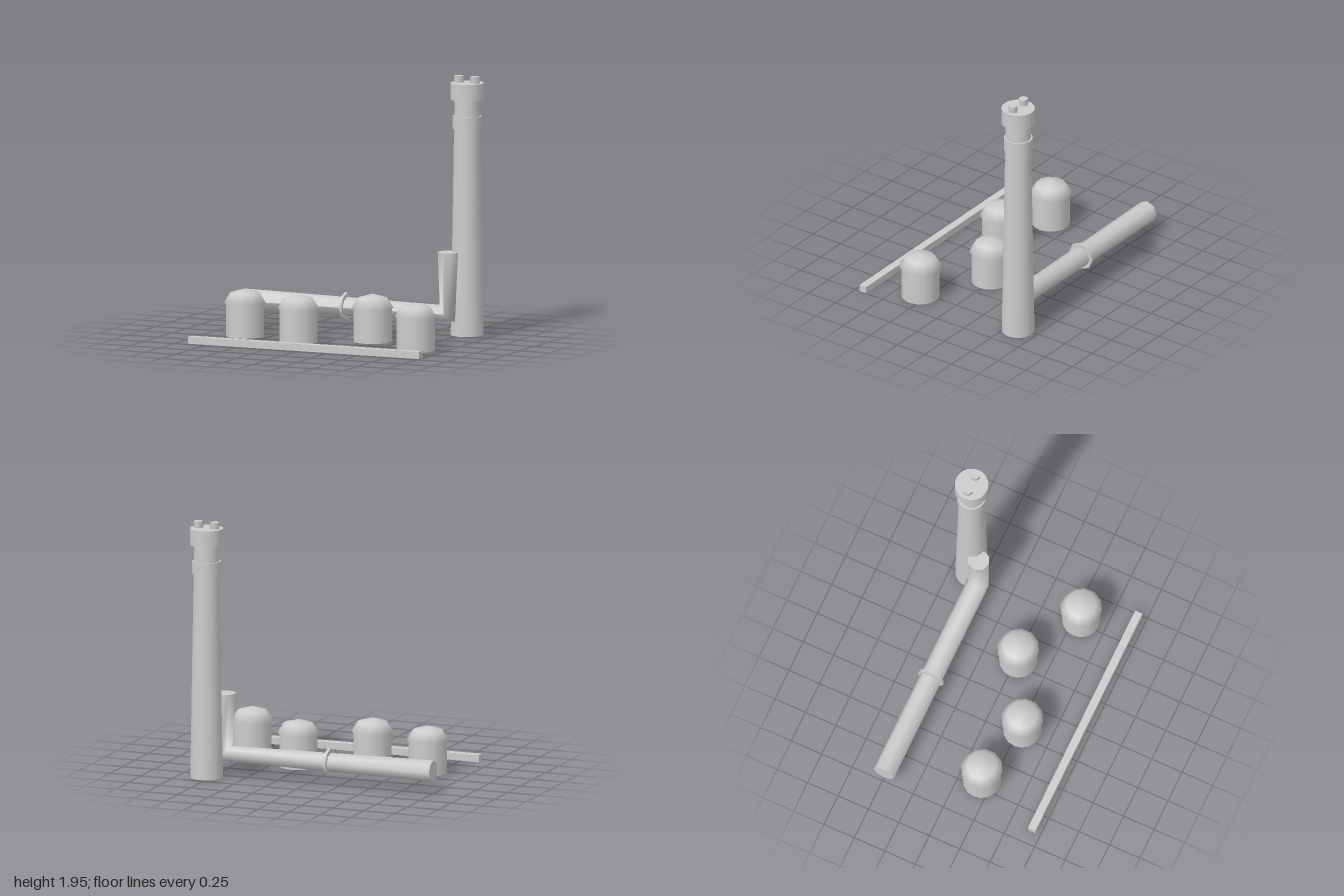
import * as THREE from 'three';

const grey = new THREE.MeshStandardMaterial({ color: 0xcccccc });
const greyDouble = new THREE.MeshStandardMaterial({ color: 0xcccccc, side: THREE.DoubleSide });

function add(parent, name, geometry, x, y, z, material = grey) {
  const mesh = new THREE.Mesh(geometry, material);
  mesh.name = name;
  mesh.position.set(x, y, z);
  parent.add(mesh);
  return mesh;
}

function group(parent, name, x, z) {
  const g = new THREE.Group();
  g.name = name;
  g.position.set(x, 0, z);
  parent.add(g);
  return g;
}

// Upright cylinder standing between two heights
function drum(parent, name, rTop, rBottom, y0, y1, sides, x = 0) {
  const geo = new THREE.CylinderGeometry(rTop, rBottom, y1 - y0, sides);
  return add(parent, name, geo, x, (y0 + y1) / 2, 0);
}

// Octagonal duct: a three-ring cylinder bent into an L, with a 45 degree ring at the elbow
function bentDuct(radius, startX, elbowX, axisY, topY) {
  const geo = new THREE.CylinderGeometry(radius, radius, 2, 8, 2);
  const p = geo.attributes.position;
  for (let i = 0; i < p.count; i++) {
    const u = p.getX(i), level = p.getY(i), z = p.getZ(i);
    if (level > 0.5) p.setXYZ(i, elbowX + u, topY, z);
    else if (level < -0.5) p.setXYZ(i, startX, axisY - u, z);
    else p.setXYZ(i, elbowX + u * Math.SQRT1_2, axisY - u * Math.SQRT1_2, z);
  }
  geo.computeVertexNormals();
  return geo;
}

export function createModel() {
  const model = new THREE.Group();
  model.name = 'industrialYard';

  // Tall chimney with a band, a cap and two hexagonal flues
  const chimney = group(model, 'chimney', 0.785, -0.595);
  drum(chimney, 'chimneyShaft', 0.094, 0.123, 0, 1.79, 24);
  drum(chimney, 'chimneyBand', 0.108, 0.108, 1.555, 1.65, 24);
  drum(chimney, 'chimneyCap', 0.125, 0.125, 1.775, 1.9, 24);
  for (const side of [-1, 1]) drum(chimney, 'flue', 0.037, 0.037, 1.89, 1.95, 6, side * 0.066);

  // Duct with its joint collar
  const duct = group(model, 'duct', 0, -0.49);
  add(duct, 'ductPipe', bentDuct(0.084, -1, 0.68, 0.17, 0.63), 0, 0, 0);
  const collar = new THREE.CylinderGeometry(0.107, 0.107, 0.022, 8).rotateZ(Math.PI / 2);
  add(duct, 'ductCollar', collar, -0.162, 0.17, 0);

  // Domed storage tanks
  const tanks = [[-0.685, 0.17], [-0.195, 0.275], [0.295, 0.015], [0.785, 0.305]];
  for (const [x, z] of tanks) {
    const tank = group(model, 'tank', x, z);
    drum(tank, 'tankBody', 0.143, 0.143, 0, 0.26, 16);
    const dome = new THREE.SphereGeometry(0.158, 12, 2, 0, Math.PI * 2, 0, Math.PI / 2);
    dome.scale(1, 0.105 / 0.158, 1).rotateY(Math.PI / 12);
    add(tank, 'tankDome', dome, 0, 0.255, 0, greyDouble);
  }

  // Low kerb along the front
  add(model, 'kerb', new THREE.BoxGeometry(1.9, 0.053, 0.06), 0.05, 0.0265, 0.68);

  return model;
}
